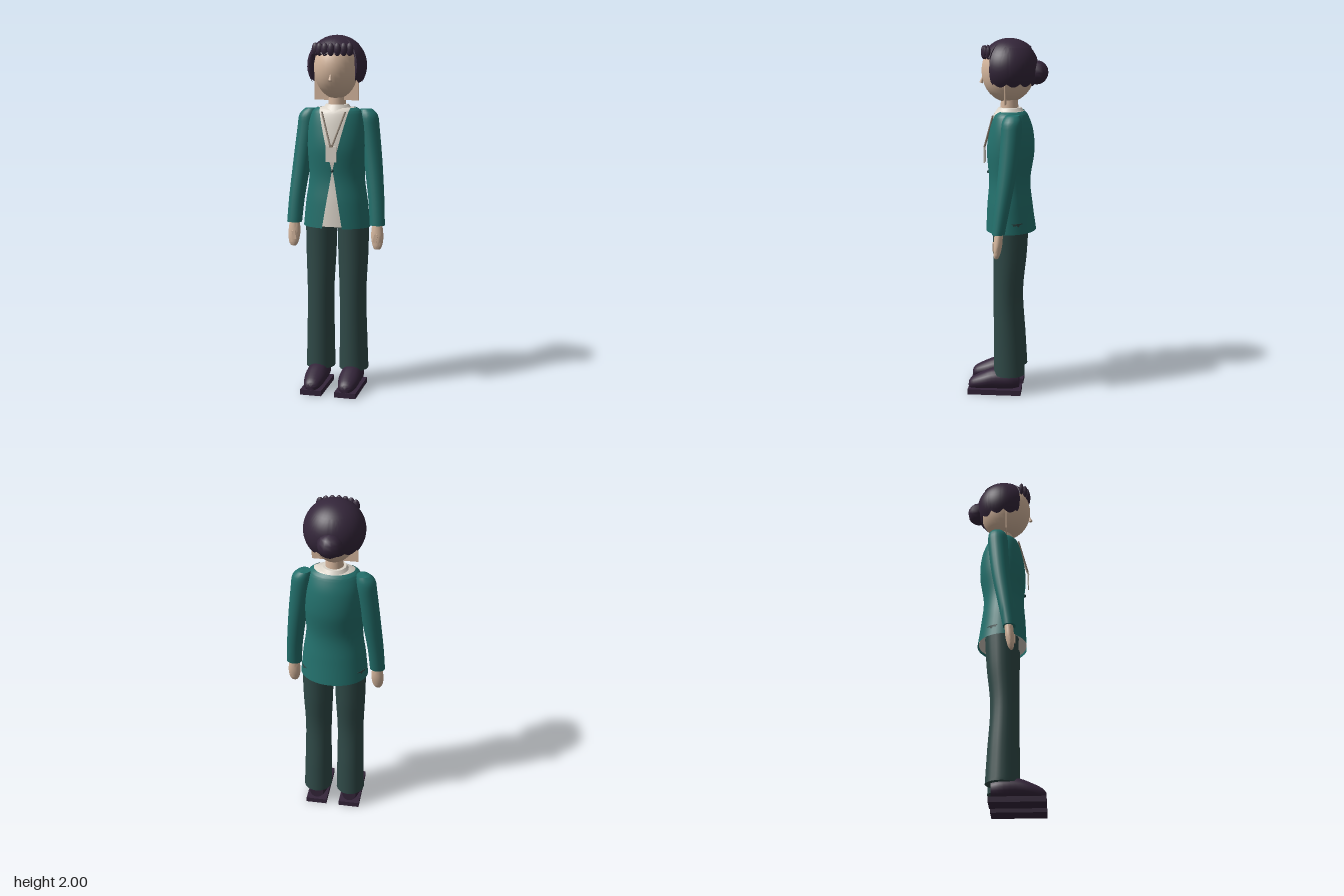
import * as THREE from 'three';
import { toCreasedNormals } from 'three/addons/utils/BufferGeometryUtils.js';

const paint = (name, color, side = THREE.FrontSide) => {
  const m = new THREE.MeshStandardMaterial({ color, side });
  m.name = name;
  return m;
};

// Catmull-Rom sampling of table rows into n + 1 smooth rows
function smooth(rows, n) {
  const out = [];
  for (let i = 0; i <= n; i++) {
    const t = (i / n) * (rows.length - 1);
    const k = Math.min(Math.floor(t), rows.length - 2), f = t - k;
    const p = j => rows[Math.max(0, Math.min(rows.length - 1, j))];
    out.push(rows[k].map((_, c) => {
      const a = p(k - 1)[c], b = p(k)[c], d = p(k + 1)[c], e = p(k + 2)[c];
      return b + 0.5 * f * (d - a + f * (2 * a - 5 * b + 4 * d - e + f * (3 * (b - d) + e - a)));
    }));
  }
  return out;
}

// Skin over rings of points, with optional fans closing both ends
function skin(rings, capped, crease = 0.8) {
  const pos = [];
  const tri = (a, b, c) => pos.push(...a, ...b, ...c);
  const same = (a, b) => Math.hypot(a[0] - b[0], a[1] - b[1], a[2] - b[2]) < 1e-6;
  const quad = (a, b, c, d) => {
    if (!same(a, b)) tri(a, b, c);
    if (!same(c, d)) tri(a, c, d);
  };
  for (let v = 0; v < rings.length - 1; v++)
    for (let u = 0; u < rings[v].length - 1; u++)
      quad(rings[v][u], rings[v][u + 1], rings[v + 1][u + 1], rings[v + 1][u]);
  if (capped) {
    const mid = r => [0, 1, 2].map(c => r.slice(1).reduce((s, p) => s + p[c], 0) / (r.length - 1));
    const lo = rings[0], hi = rings[rings.length - 1], ml = mid(lo), mh = mid(hi);
    for (let u = 0; u < lo.length - 1; u++) {
      tri(ml, lo[u + 1], lo[u]);
      tri(mh, hi[u], hi[u + 1]);
    }
  }
  const g = new THREE.BufferGeometry();
  g.setAttribute('position', new THREE.Float32BufferAttribute(pos, 3));
  return toCreasedNormals(g, crease);
}

const circle = (n, fn, a0 = 0, a1 = Math.PI * 2) =>
  Array.from({ length: n + 1 }, (_, i) => fn(a0 + (a1 - a0) * i / n));

// Upright limb from rows [y, centre x, centre z, radius x, radius z]
const limb = (rows, s, n = 16) => skin(smooth(rows, n).map(([y, cx, cz, rx, rz]) =>
  circle(20, a => [s * cx + rx * Math.sin(a), y, cz + rz * Math.cos(a)])), true);

// Torso rows [y, half width, front depth, back depth]; open(y) is half the front gap
const torso = (rows, open, capped) => skin(smooth(rows, 48).map(([y, rx, zf, zb]) => {
  const gap = Math.asin(Math.min(0.95, open(y) / rx));
  return circle(40, a => {
    const c = Math.cos(a);
    return [rx * Math.sin(a), y, c * (c > 0 ? zf : zb)];
  }, gap, Math.PI * 2 - gap);
}), capped);

export function createModel() {
  const model = new THREE.Group();
  const mat = {
    skin: paint('skin', 0xd6b79e),
    hair: paint('hair', 0x34263a, THREE.DoubleSide),
    jacket: paint('jacket teal', 0x23706c, THREE.DoubleSide),
    shirt: paint('shirt cream', 0xdcd5ca),
    trousers: paint('trouser green', 0x2f4947),
    shoe: paint('shoe plum', 0x34253a),
    strap: paint('lanyard taupe', 0x8f8172),
    dark: paint('button dark', 0x1d3b3a),
  };
  const add = (name, geo, m, x = 0, y = 0, z = 0) => {
    const mesh = new THREE.Mesh(geo, m);
    mesh.name = name;
    mesh.position.set(x, y, z);
    model.add(mesh);
    return mesh;
  };
  const ball = (name, m, r, p, w = 28, h = 20) =>
    add(name, new THREE.SphereGeometry(1, w, h), m, ...p).scale.set(...r);

  // Head, flat jaw plate, nose and neck
  ball('head', mat.skin, [0.125, 0.17, 0.147], [0, 1.822, 0.002]);
  add('jawPlate', new THREE.BoxGeometry(0.25, 0.19, 0.006), mat.skin, 0, 1.74, 0.01);
  const nose = add('nose', new THREE.CylinderGeometry(0.004, 0.011, 0.035, 6), mat.skin, 0, 1.773, 0.147);
  nose.rotation.x = -0.3;
  add('neck', new THREE.CylinderGeometry(0.046, 0.052, 0.13, 20), mat.skin, 0, 1.63, -0.005);

  // Hair shell: short scalloped fringe in front, longer at the sides and back
  const hemY = a => {
    const f = Math.abs(a);
    const step = THREE.MathUtils.smoothstep(f, 0.88, 0.96);
    const wave = 0.018 * Math.abs(Math.sin(a * 6));
    return THREE.MathUtils.lerp(1.915, 1.76, step) - wave;
  };
  const rings = [];
  for (let v = 0; v <= 16; v++) {
    rings.push(circle(120, a => {
      const low = Math.asin((hemY(a) - 1.835) / 0.165);
      const e = low + (Math.PI / 2 - low) * v / 16;
      const r = 0.165 * Math.cos(e);
      return [r * Math.sin(a), 1.835 + 0.165 * Math.sin(e), r * 0.985 * Math.cos(a) - 0.003];
    }, -Math.PI, Math.PI));
  }
  add('hairShell', skin(rings, false), mat.hair);
  const crown = new THREE.SphereGeometry(0.167, 32, 8, 0, Math.PI * 2, 0, 0.79);
  add('hairCrown', crown, mat.hair, 0, 1.833, -0.008);
  ball('hairBun', mat.hair, [0.068, 0.066, 0.066], [0, 1.815, -0.155], 10, 8);
  for (let i = -3; i <= 3; i++) {
    const a = i * 0.25;
    ball('fringeLock', mat.hair, [0.021, 0.036, 0.014],
      [0.14 * Math.sin(a), 1.924, 0.138 * Math.cos(a)], 10, 8);
  }

  // Jacket, cut away at the neckline and below the button
  const jacketRows = [
    [0.94, 0.19, 0.125, 0.155], [1.08, 0.176, 0.118, 0.135], [1.22, 0.158, 0.108, 0.122],
    [1.38, 0.166, 0.12, 0.144], [1.5, 0.161, 0.107, 0.136], [1.58, 0.14, 0.087, 0.108],
    [1.605, 0.112, 0.062, 0.088],
  ];
  const gap = y => y > 1.265 ? 0.002 + (y - 1.265) * 0.25 : 0.002 + (1.265 - y) * 0.17;
  add('jacket', torso(jacketRows, gap, false), mat.jacket);
  add('jacketButton', new THREE.SphereGeometry(0.009, 10, 8), mat.dark, 0, 1.262, 0.112);

  // Shirt underneath and its standing collar
  const shirtRows = jacketRows.map(([y, ...r]) => [Math.max(y, 0.95), ...r.map(v => v * 0.955)]);
  add('shirt', torso(shirtRows, () => 0, true), mat.shirt);
  add('shirtCollar', new THREE.CylinderGeometry(0.064, 0.088, 0.035, 28), mat.shirt, 0, 1.605, -0.008);

  // Lanyard straps and badge
  add('badge', new THREE.BoxGeometry(0.06, 0.085, 0.006), mat.shirt, 0, 1.357, 0.134);
  add('badgeClip', new THREE.BoxGeometry(0.02, 0.012, 0.008), mat.strap, 0, 1.402, 0.134);

  for (const s of [-1, 1]) {
    const path = new THREE.LineCurve3(
      new THREE.Vector3(s * 0.066, 1.585, 0.08), new THREE.Vector3(s * 0.005, 1.4, 0.135));
    add('lanyardStrap', new THREE.TubeGeometry(path, 1, 0.005, 6), mat.strap);

    // Sleeve
    add('sleeve', limb([
      [0.957, 0.239, 0.034, 0.043, 0.035], [1.1, 0.229, 0.014, 0.045, 0.042],
      [1.3, 0.205, -0.014, 0.051, 0.051], [1.48, 0.181, -0.03, 0.055, 0.056],
      [1.56, 0.172, -0.034, 0.052, 0.054], [1.595, 0.158, -0.038, 0.034, 0.036],
    ], s), mat.jacket);

    // Hand and thumb
    add('hand', limb([
      [0.822, 0.242, 0.045, 0.016, 0.01], [0.845, 0.242, 0.042, 0.028, 0.018],
      [0.9, 0.24, 0.036, 0.035, 0.024], [0.98, 0.238, 0.03, 0.026, 0.022],
    ], s), mat.skin);
    const thumb = add('thumb', new THREE.BoxGeometry(0.02, 0.048, 0.02), mat.skin, s * 0.234, 0.885, 0.056);
    thumb.rotation.z = -s * 0.2;

    // Trouser leg
    add('trouserLeg', limb([
      [0.112, 0.098, -0.013, 0.083, 0.089], [0.3, 0.096, -0.008, 0.079, 0.083],
      [0.55, 0.094, 0, 0.076, 0.076], [0.78, 0.093, -0.01, 0.085, 0.087],
      [1, 0.092, -0.014, 0.09, 0.095],
    ], s, 24), mat.trousers);

    // Shoe upper from toe to heel: [z, centre y, radius x, radius y]
    const upper = smooth([
      [0.218, 0.045, 0.022, 0.018], [0.2, 0.053, 0.042, 0.032], [0.14, 0.068, 0.058, 0.048],
      [0.07, 0.082, 0.061, 0.06], [-0.02, 0.082, 0.058, 0.06], [-0.07, 0.08, 0.04, 0.045],
    ], 16).map(([z, cy, rx, ry]) =>
      circle(20, a => [s * 0.099 + rx * Math.sin(a), cy + ry * Math.cos(a), z]));
    add('shoeUpper', skin(upper, true), mat.shoe);
    add('shoeSole', new THREE.BoxGeometry(0.122, 0.03, 0.302), mat.shoe, s * 0.099, 0.015, 0.069);
  }
  return model;
}
